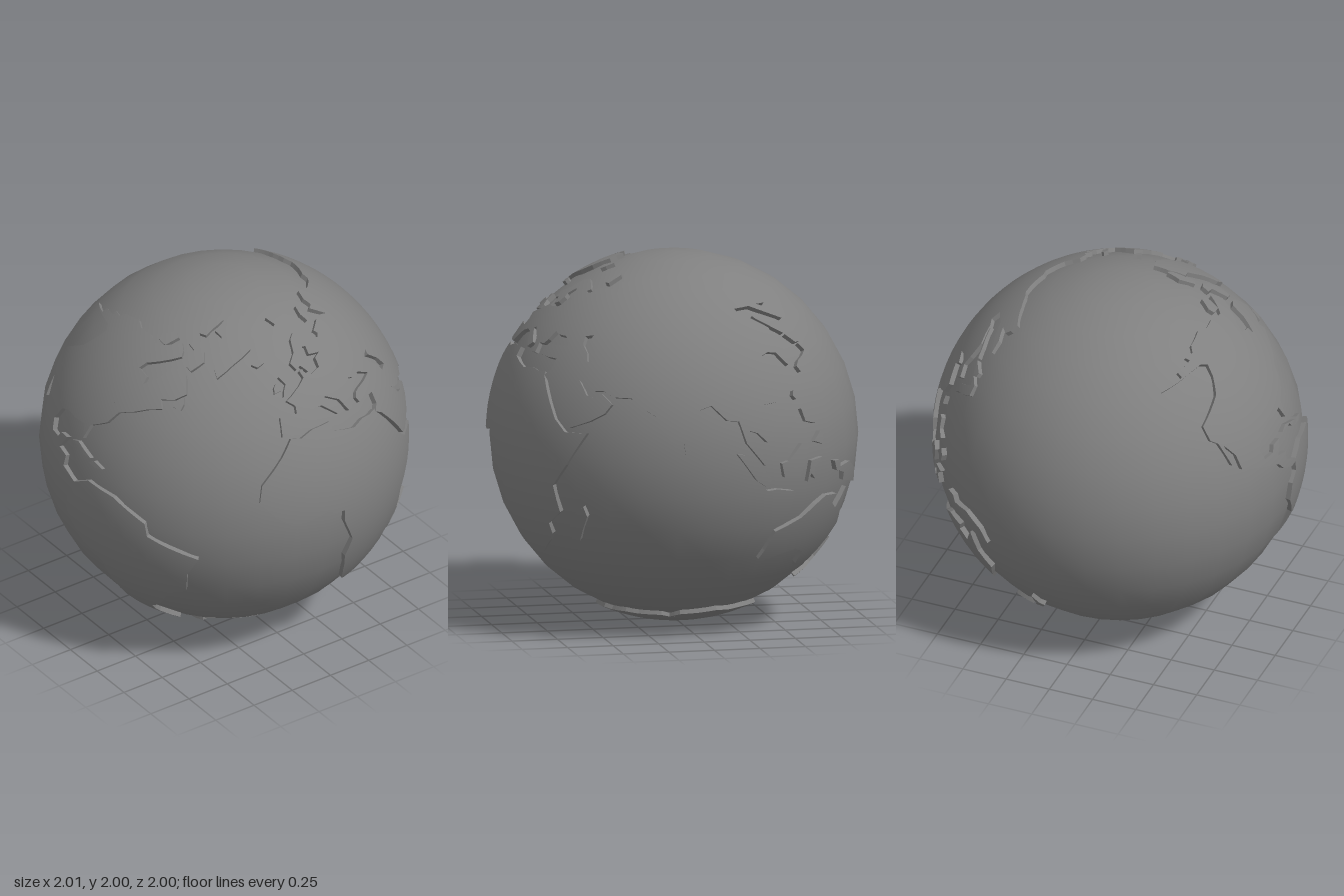
import * as THREE from 'three';

const SEA = 0.988, LAND = 1.008, FLOOR = 0.96, STEP = 6;

// Coastlines as longitude, latitude pairs in degrees
const asia = [32.5,30, 35,28, 39,21, 43,13, 45,13, 52,16, 57,19, 59.8,22.5, 56.5,26, 54,24, 51,25, 50,27, 48,30,
  51,28, 54,26.7, 57,27, 61,25, 66.5,25, 70,21, 73,19, 74,14, 77.5,8, 80,13, 82,16.5, 87,21, 91,22.5, 94,17,
  97.5,16.5, 98.5,9, 103.5,1.3, 103,5, 100,8, 100,13, 102.5,12, 105,8.8, 109,11.5, 106,18, 108,21.5, 113,22,
  118,24.5, 121.5,29, 119,35, 122,37, 118,39, 121.5,40, 125,39.5, 126.5,34.5, 129.3,36, 127.5,39.5, 132,43,
  140,49, 140,54, 136,54.5, 143,59, 155,59.5, 156.5,51.5, 162.5,56, 163,60, 170,60, 179,62.5, 190,66, 180,69,
  170,70, 160,69.7, 140,72.5, 129,71.5, 113,74, 104,77.5, 88,75.5, 80,72.5];
const europe = [72,72.5, 72,67, 68,68.5, 60,69, 54,68.5, 44,67.5, 44,66, 40,65, 38,66, 41,67, 34,69.3, 26,71,
  18,69.5, 12,65, 5,61.5, 7,58, 10.5,59, 13,55.5, 16.5,57, 18,60, 17.5,62, 22,65.7, 24.5,65, 21.5,61.5, 29,60,
  23.5,59, 21,55, 14,54, 10.5,54, 10.5,57.5, 8,57, 8.5,54, 4,52, -1.5,49.7, -4.7,48.4, -1.2,46, -1.5,43.5,
  -9,43.5, -9,37, -6,36.5, -2,36.8, 0,39, 3.2,42, 7,43.4, 10.5,43, 15.7,38, 18.4,40, 12.5,44.5, 14,45.3,
  19.3,42, 21,37, 23,37, 23,40.5, 26,40.8, 28,42.5, 30.5,46, 33,45, 37.5,45, 41.5,41.8, 36,41.3, 31,41, 28.5,40.5,
  27,39, 27.5,37, 31,36.5, 36,36.5, 35,32, 34,31.3];
const caspianSea = [50,37, 54,37, 53,41, 51,45, 53,46.8, 48.5,46, 47.5,43, 49.5,40];

const lands = {
  africa: [32.5,30, 32.5,31.2, 29,31, 25,31.7, 20,30.7, 15.5,32, 11,33.5, 11,37, 3,36.8, -2,35, -6,35.8, -10,30,
    -17,21, -17.5,14.7, -13,9, -7.5,4.4, -2,4.8, 4,6.3, 6,4.3, 9.5,4, 9.5,0, 13.5,-9, 12,-16, 15,-26, 18,-33,
    20,-34.8, 26,-34, 32.5,-28, 35.5,-24, 35,-20, 40.5,-15, 39,-6, 44,1, 51,11.8, 43.5,11.5, 39.5,15.5, 37,21, 33.5,28],
  northAmerica: [-77.5,8.5, -79.5,9.5, -83.5,11, -83.5,15, -88,16, -87,21.3, -90.5,21, -91,18.7, -95,18.5,
    -97.7,22.5, -97,28, -94,29.7, -89,29.5, -84,30, -81,25.2, -81.3,31, -76,35, -74,40, -70,42, -66,44.5, -61,46,
    -65,49, -59,50, -55.7,52.5, -62,58, -65,60, -70,61.5, -78,62.3, -77,57, -79.5,52, -82.5,55, -92.5,57, -94,60,
    -87,64.5, -82,67, -86,69, -95,71.5, -108,68, -115,68.5, -128,70, -141,69.7, -156,71, -166,68.5, -162,66.3,
    -168,65.6, -161,64, -165,61, -158,58.7, -164,54.7, -152,59.5, -146,60.5, -138,59, -130,54, -124,48, -124,40,
    -120.5,34.5, -117,32.5, -110,23, -114.5,31, -109,26, -105.5,20, -95,16, -88,13, -85.5,10, -80.5,7.5, -78,7.5],
  southAmerica: [-77.5,8.5, -72,12, -62,10.5, -51,4.5, -50,0, -44,-2.7, -35.2,-6, -39,-13, -41,-22, -48.5,-26,
    -53.5,-34, -57,-37, -62,-39, -65,-43, -67.5,-47, -68.5,-52, -66,-55, -72,-53, -75,-47, -73,-38, -70.5,-19,
    -76,-14, -81,-5, -80,1, -77.5,4, -78,7.5],
  australia: [114,-22, 122,-18, 126,-14, 130,-11.5, 136.5,-12, 135.5,-15, 140,-17.5, 142.5,-10.8, 146,-19, 153,-25,
    153,-31, 150,-37.5, 144,-39, 140,-37.5, 137.5,-34, 131,-31.5, 124,-33, 118,-35, 115,-34, 115,-30],
  greenland: [-45,60, -51,64, -54,70, -60,76, -72,78, -60,82, -35,83.5, -18,80.5, -20,75, -24,70.5, -38,66],
  baffinIsland: [-65,62, -72,64, -78,70, -90,72, -86,73.7, -78,73, -68,70, -62,66.5],
  ellesmereIsland: [-80,76, -90,76.5, -92,81, -70,83, -64,81.5, -76,78.5],
  victoriaIsland: [-105,69, -117,70, -122,72, -118,75, -105,73],
  newfoundland: [-53,46.8, -59.2,47.8, -56,51.5, -53.5,49],
  iceland: [-19,63.4, -24,65, -22,66.4, -15,66.3, -13.8,65],
  greatBritain: [-5.5,50, 1.4,51.2, 1.5,52.8, -1.5,55, -3,58.5, -6,57.5, -3,54, -4.8,52],
  ireland: [-10,51.7, -6.3,52.2, -6,54.7, -8.5,55.2, -10,53.7],
  cuba: [-84.5,22, -82,23.2, -74.3,20.2, -77.5,20, -79,21.6],
  hispaniola: [-74.3,18.4, -72.5,20, -68.5,18.6, -71.2,17.8],
  madagascar: [44,-25, 47,-25.2, 50.3,-15.5, 49.2,-12, 44.3,-16.5, 43.4,-22],
  sriLanka: [80.2,6, 81.8,7, 80,9.8],
  sumatra: [95.3,5.6, 97.6,5.2, 104,-1, 106,-3, 105,-5.8, 101,-3],
  java: [105.3,-6.8, 108.5,-6.6, 114.5,-7.8, 114,-8.7, 108,-7.8],
  borneo: [109,1.5, 111.5,2, 117,7, 119,5, 117.5,0.5, 116,-4, 110.3,-3],
  sulawesi: [119.5,-5.5, 120.5,-3, 122.5,-5, 121.5,-1.5, 125,1.5, 120,1],
  newGuinea: [131,-0.8, 134,-1, 135,-3.2, 141,-2.6, 147.5,-6, 150.5,-10.5, 147,-9.8, 143,-9, 138.5,-8, 138,-5.5, 133,-4],
  northPhilippines: [120,14, 120.5,18.5, 122.2,18.3, 121.7,14.5, 124,12.7],
  southPhilippines: [122,7, 125.5,5.6, 126.4,8, 125.4,10],
  taiwan: [120.7,22, 120.2,23.5, 121.6,25.2],
  honshu: [130,31.3, 129.8,33.5, 132.5,35.5, 136.5,37, 139.5,38.5, 140.3,41.3, 142,39.5, 140.8,35.7, 136,33.6, 131.8,32.5],
  hokkaido: [140,41.8, 141.7,45.4, 145.4,43.5, 143.2,42],
  sakhalin: [142,46, 142,53, 143,54.3, 143.5,49],
  novayaZemlya: [52,71, 56,74, 67,77, 68,76, 57,71],
  svalbard: [16,76.6, 11,79.5, 24,80.3, 20,78],
  newZealandNorth: [174.8,-41.5, 174,-39.2, 173,-34.6, 176,-37.5, 178.4,-37.8, 177,-39.8],
  newZealandSouth: [166.5,-46, 172.5,-40.7, 174.2,-41.8, 170.5,-46, 168.5,-46.7],
};
// Closed around the pole, so it keeps plain degrees
const antarctica = [-180,-75, -158,-73, -144,-72, -100,-71, -75,-70, -60,-66, -48,-61, -47,-66, -36,-68, -22,-67,
  -10,-65.5, 10,-65.5, 18,-64.5, 25,-65.5, 40,-65, 50,-66, 68,-66, 74,-68, 82,-65, 95,-64, 107,-62.5, 118,-63.5,
  130,-62.5, 150,-63, 155,-66, 161,-67, 172,-68, 175,-72, 180,-75, 180,-90, 90,-90, 0,-90, -90,-90, -180,-90];

// The flat map's own spacing: latitude steps, and width shrinking towards the poles
const LATS = [[-90,-90], [-54,-53], [-40,-43], [-34.8,-34.5], [-25,-26.5], [-12,-14.5], [4.4,1.8],
  [14.7,11.5], [36.5,30.5], [54,46.5], [66,55.5], [72,61.5], [77,66], [83,73], [90,90]];
const WIDTHS = [[0,1], [15,0.985], [30,0.935], [40,0.905], [51,0.8], [60,0.71], [66,0.64], [75,0.53], [90,0.4]];
function lookUp(table, v) {
  const i = Math.max(1, table.findIndex(row => v <= row[0]));
  const [a, b] = [table[i - 1], table[i]];
  return a[1] + (v - a[0]) / (b[0] - a[0]) * (b[1] - a[1]);
}
const fromMap = (lon, lat) => new THREE.Vector2((lon * 1.08 - 5) * lookUp(WIDTHS, Math.abs(lat)), lookUp(LATS, lat));
const plain = (lon, lat) => new THREE.Vector2(lon, lat);

const toOutline = (list, clockwise, place) => {
  const pts = [];
  for (let i = 0; i < list.length; i += 2) pts.push(place(list[i], list[i + 1]));
  return THREE.ShapeUtils.isClockWise(pts) === clockwise ? pts : pts.reverse();
};
const onGlobe = (p, r) => new THREE.Vector3().setFromSphericalCoords(
  r, THREE.MathUtils.degToRad(90 - p.y), THREE.MathUtils.degToRad(p.x));
const middle = (a, b) => a.clone().add(b).multiplyScalar(0.5);

// Raised plate: curved top plus coastal cliffs
function landGeometry(list, seas = [], place = fromMap) {
  const outer = toOutline(list, false, place), holes = seas.map(s => toOutline(s, true, place));
  const pos = [], nor = [];
  const put = (v, n) => { pos.push(v.x, v.y, v.z); nor.push(n.x, n.y, n.z); };

  // Top: split long triangles so that they follow the curve
  const top = (a, b, c) => {
    const ab = a.distanceTo(b), bc = b.distanceTo(c), ca = c.distanceTo(a), longest = Math.max(ab, bc, ca);
    if (longest <= STEP) {
      for (const p of [a, b, c]) put(onGlobe(p, LAND), onGlobe(p, 1));
    } else if (longest === ab) {
      const m = middle(a, b); top(a, m, c); top(m, b, c);
    } else if (longest === bc) top(b, c, a);
    else top(c, a, b);
  };
  const all = [outer, ...holes].flat();
  for (const [i, j, k] of THREE.ShapeUtils.triangulateShape(outer, holes)) {
    const a = all[i], b = all[j], c = all[k];
    if (THREE.ShapeUtils.area([a, b, c]) > 0) top(a, b, c); else top(a, c, b);
  }

  // Cliffs
  const cliff = (a, b) => {
    if (a.distanceTo(b) > STEP) {
      const m = middle(a, b); cliff(a, m); cliff(m, b);
      return;
    }
    const a0 = onGlobe(a, FLOOR), b0 = onGlobe(b, FLOOR), a1 = onGlobe(a, LAND), b1 = onGlobe(b, LAND);
    const n = b0.clone().sub(a0).cross(a1.clone().sub(a0)).normalize();
    for (const v of [a0, b0, b1, a0, b1, a1]) put(v, n);
  };
  for (const ring of [outer, ...holes]) ring.forEach((p, i) => cliff(p, ring[(i + 1) % ring.length]));

  const g = new THREE.BufferGeometry();
  g.setAttribute('position', new THREE.Float32BufferAttribute(pos, 3));
  g.setAttribute('normal', new THREE.Float32BufferAttribute(nor, 3));
  return g;
}

export function createModel() {
  const globe = new THREE.Group();
  globe.name = 'globe';
  const material = new THREE.MeshStandardMaterial({ color: 0x808080 });
  const add = (name, geometry) => {
    const mesh = new THREE.Mesh(geometry, material);
    mesh.name = name;
    mesh.position.y = 0.997;
    globe.add(mesh);
  };
  add('ocean', new THREE.SphereGeometry(SEA, 32, 16));
  add('eurasia', landGeometry([...asia, ...europe], [caspianSea]));
  add('antarctica', landGeometry(antarctica, [], plain));
  for (const [name, list] of Object.entries(lands)) add(name, landGeometry(list));
  return globe;
}
